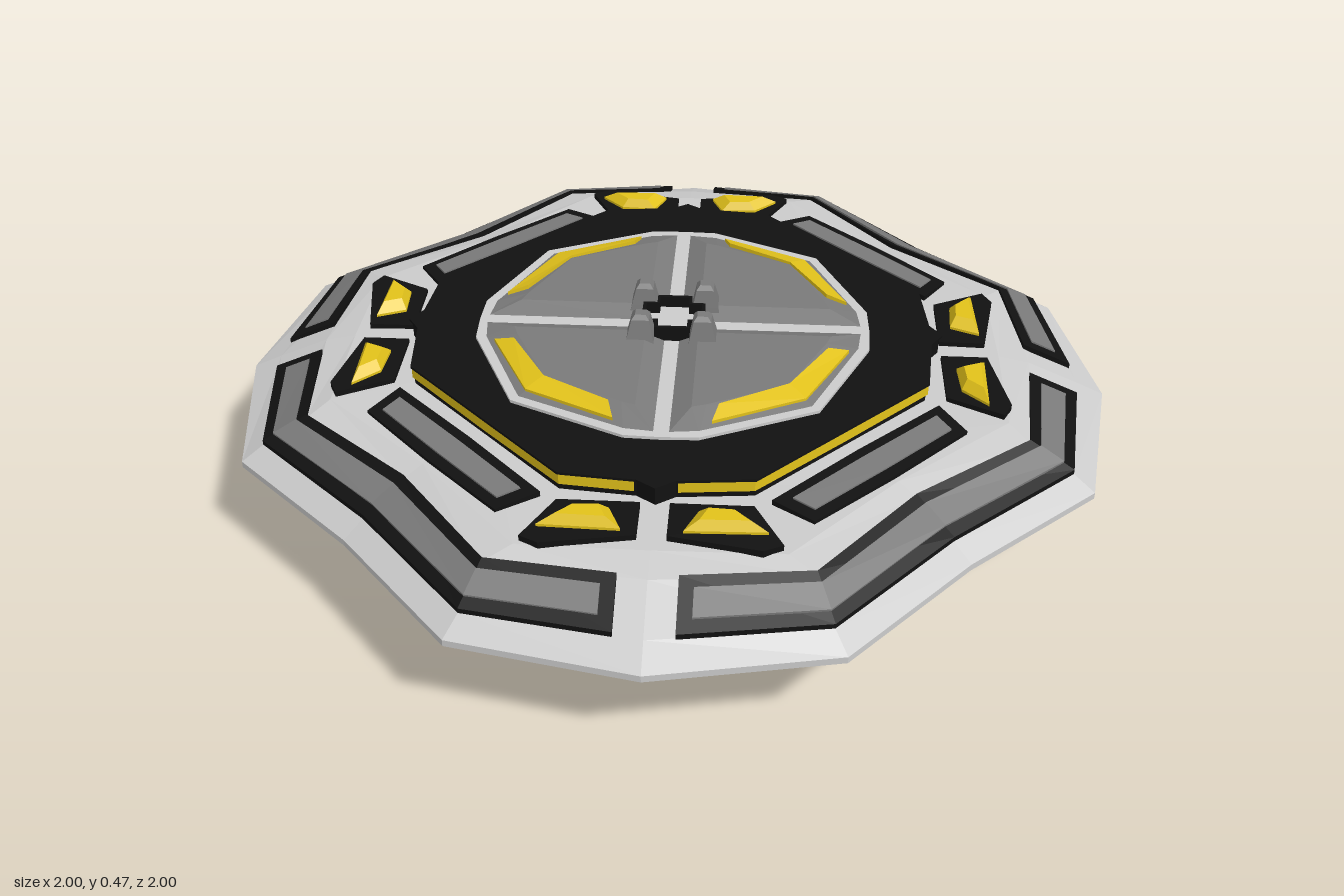
import * as THREE from 'three';

const mat = (color) => new THREE.MeshStandardMaterial({ color, flatShading: true, roughness: 0.8 });
const LIGHT = mat(0xcccccc), GREY = mat(0x7a7a7a), BLACK = mat(0x111111), GOLD = mat(0xe2c21a);

// Closed solid through a list of equal-length loops, capped at both ends and wound outwards.
function loft(name, loops, material) {
  const tris = [];
  const n = loops[0].length;
  for (let i = 0; i + 1 < loops.length; i++) {
    const a = loops[i], b = loops[i + 1];
    for (let j = 0; j < n; j++) {
      const k = (j + 1) % n;
      tris.push([a[j], a[k], b[k]], [a[j], b[k], b[j]]);
    }
  }
  const cap = (loop, flip) => {
    const c = [0, 1, 2].map((d) => loop.reduce((s, p) => s + p[d], 0) / n);
    for (let j = 0; j < n; j++) {
      const p = loop[j], q = loop[(j + 1) % n];
      tris.push(flip ? [c, q, p] : [c, p, q]);
    }
  };
  cap(loops[0], true);
  cap(loops[loops.length - 1], false);
  const v = (p) => new THREE.Vector3(...p);
  const volume = tris.reduce((s, [a, b, c]) => s + v(a).dot(v(b).cross(v(c))), 0);
  const flat = tris.flatMap(([a, b, c]) => (volume < 0 ? [a, c, b] : [a, b, c])).flat();
  const geo = new THREE.BufferGeometry();
  geo.setAttribute('position', new THREE.Float32BufferAttribute(flat, 3));
  geo.computeVertexNormals();
  const mesh = new THREE.Mesh(geo, material);
  mesh.name = name;
  return mesh;
}

// [x, z] outline at a height.
const at = (pts, y, s = 1) => pts.map(([x, z]) => [x * s, y, z * s]);

// Repeat one quarter of an outline around the centre.
function around(pts) {
  const out = [];
  for (let k = 0, q = pts; k < 4; k++, q = q.map(([x, z]) => [-z, x])) out.push(...q);
  return out;
}

// Shrink an outline toward its own centre.
function shrink(pts, s) {
  const c = [0, 1].map((d) => pts.reduce((t, p) => t + p[d], 0) / pts.length);
  return pts.map((p) => p.map((v, d) => c[d] + (v - c[d]) * s));
}

const lerp = (a, b, t) => a.map((v, i) => v + (b[i] - v) * t);
const swap = (pts) => pts.map(([x, z]) => [z, x]);

// Bent slab between an outer and an inner polyline.
const strip = (name, outer, inner, lo, hi, material) => loft(name, outer.map(([x, y, z], i) => {
  const [u, v, w] = inner[i];
  return [[x, y + lo, z], [x, y + hi, z], [u, v + hi, w], [u, v + lo, w]];
}), material);

// Pull both edges and both ends of a band inwards.
function inset(outer, inner, k, end) {
  const trim = (line) => {
    const n = line.length - 1;
    const pull = (a, b) => lerp(a, b, end / Math.hypot(...a.map((v, i) => v - b[i])));
    return line.map((p, i) => (i === 0 ? pull(p, line[1]) : i === n ? pull(p, line[n - 1]) : p));
  };
  return [trim(outer.map((p, i) => lerp(p, inner[i], k))), trim(outer.map((p, i) => lerp(p, inner[i], 1 - k)))];
}

// Black trim band with a grey panel on it.
function panelBand(name, outer, inner) {
  const g = new THREE.Group();
  g.name = name;
  const [o, i] = inset(outer, inner, 0.24, 0.03);
  g.add(strip(name + 'Trim', outer, inner, -0.015, 0.011, BLACK));
  g.add(strip(name + 'Panel', o, i, 0, 0.015, GREY));
  return g;
}

function quarter() {
  const g = new THREE.Group();
  g.name = 'quarter';

  // Outer and inner panel bands
  g.add(panelBand('outerBand',
    at([[0.928, 0.06], [0.88, 0.36], [0.605, 0.605], [0.36, 0.88], [0.06, 0.928]], 0.0375),
    at([[0.815, 0.06], [0.785, 0.325], [0.53, 0.53], [0.325, 0.785], [0.06, 0.815]], 0.0875)));
  g.add(panelBand('innerBand',
    at([[0.65, 0.32], [0.488, 0.488], [0.32, 0.65]], 0.1),
    at([[0.595, 0.235], [0.412, 0.412], [0.235, 0.595]], 0.107)));

  // Gold lamps on black pads, one on each side of the diagonal
  const pad = [[0.615, 0.03], [0.72, 0.03], [0.755, 0.22], [0.735, 0.26], [0.615, 0.2]];
  const lamp = [[0.645, 0.09], [0.71, 0.062], [0.705, 0.23], [0.65, 0.175]];
  for (const f of [(p) => p, swap]) {
    g.add(loft('lampPad', [at(f(pad), 0.08), at(f(pad), 0.116)], BLACK));
    g.add(loft('lamp', [at(f(lamp), 0.11), at(f(lamp), 0.122), at(f(shrink(lamp, 0.6)), 0.142)], GOLD));
  }

  // Gold edge of the deck
  const edge = [[0.588, 0.045], [0.573, 0.2], [0.388, 0.388], [0.2, 0.573], [0.045, 0.588]];
  g.add(strip('deckEdge', at(edge, 0), at(edge, 0, 0.96), 0.122, 0.148, GOLD));

  // Bevelled dome plate with its gold strip
  const base = [[0.012, 0.012], [0.438, 0.012], [0.43, 0.08], [0.322, 0.322], [0.08, 0.43], [0.012, 0.438]];
  const top = [[0.06, 0.06], [0.36, 0.06], [0.35, 0.09], [0.265, 0.265], [0.09, 0.35], [0.06, 0.36]];
  g.add(loft('domePlate', [at(base, 0.15), at(base, 0.158), at(top, 0.178)], GREY));
  g.add(strip('domeStrip',
    at([[0.4, 0.105], [0.303, 0.303], [0.105, 0.4]], 0.165),
    at([[0.353, 0.118], [0.267, 0.267], [0.118, 0.353]], 0.178), -0.01, 0.006, GOLD));

  // Tapered hub prong
  const box = (a, b) => [[a, a], [b, a], [b, b], [a, b]];
  g.add(loft('prong', [at(box(0.036, 0.108), 0.15), at(box(0.042, 0.1), 0.182),
    at(box(0.05, 0.09), 0.222), at(box(0.058, 0.082), 0.2325)], GREY));
  return g;
}

function half() {
  const g = new THREE.Group();

  // Faceted hull: axis, corner and diagonal radii for each level
  const hull = [
    [1, 0.925, 0.385, 0.64, 0], [1, 0.925, 0.385, 0.64, 0.0075],
    [0.935, 0.88, 0.36, 0.605, 0.0375], [0.82, 0.79, 0.33, 0.53, 0.0875],
    [0.75, 0.745, 0.27, 0.495, 0.1025], [0.56, 0.54, 0.18, 0.37, 0.1075],
  ].map(([a, cx, cz, d, y]) => at(around([[a, 0], [cx, cz], [d, d], [cz, cx]]), y));
  g.add(loft('hull', hull, LIGHT));

  // Black deck with a thin lip
  const deck = around([[0.61, 0], [0.583, 0.04], [0.568, 0.2], [0.384, 0.384], [0.2, 0.568], [0.04, 0.583]]);
  g.add(loft('deck', [at(deck, 0.09), at(deck, 0.147), at(deck, 0.147, 1.012), at(deck, 0.153, 1.012)], BLACK));

  // Light dome rim, visible between the plates
  const rim = around([[0.45, 0], [0.447, 0.08], [0.332, 0.332], [0.08, 0.447]]);
  g.add(loft('domeRim', [at(rim, 0.15), at(rim, 0.16)], LIGHT));

  // Cross-shaped hub cup with a light floor
  const cross = (r, w) => around([[r, -w], [r, w], [w, w]]);
  const outer = cross(0.072, 0.04), inner = cross(0.064, 0.034);
  g.add(loft('hubCup', [at(outer, 0.15), at(outer, 0.195), at(inner, 0.195), at(inner, 0.162)], BLACK));
  g.add(loft('hubFloor', [at(inner, 0.155), at(inner, 0.168)], LIGHT));

  for (let k = 0; k < 4; k++) {
    const q = quarter();
    q.rotation.y = k * Math.PI / 2;
    g.add(q);
  }
  return g;
}

export function createModel() {
  const model = new THREE.Group();
  model.name = 'saucer';
  const upper = half(), lower = half();
  upper.name = 'upperHalf';
  lower.name = 'lowerHalf';
  lower.rotation.x = Math.PI;
  upper.position.y = lower.position.y = 0.2325;
  model.add(upper, lower);
  return model;
}
